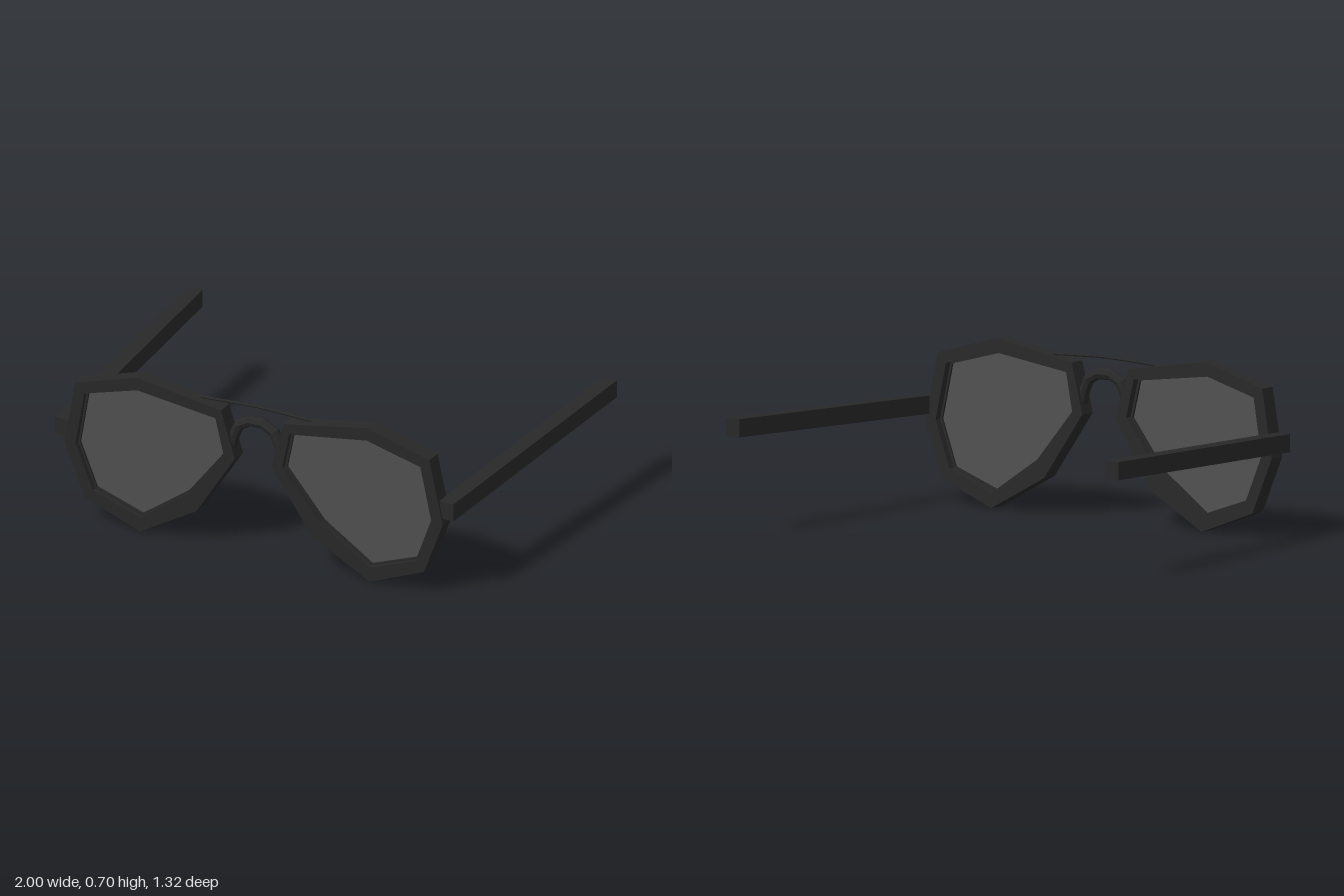
import * as THREE from 'three';

// Octagonal rim outlines for the +x side, clockwise from the top
const OUTER = [[0.535, 0.705], [0.825, 0.62], [0.882, 0.335], [0.79, 0.1],
  [0.535, 0], [0.27, 0.15], [0.085, 0.43], [0.145, 0.64]];
const INNER = [[0.535, 0.648], [0.783, 0.58], [0.829, 0.34], [0.753, 0.143],
  [0.535, 0.065], [0.308, 0.223], [0.137, 0.437], [0.172, 0.598]];
// Lens edge, slightly inside the opening
const LENS = INNER.map(([x, y]) => [0.5 + (x - 0.5) * 0.972, 0.38 + (y - 0.38) * 0.972]);

// Counter-clockwise outline on either side
const outline = (pts, side) => {
  const out = pts.map(([x, y]) => new THREE.Vector2(x * side, y));
  return side > 0 ? out.reverse() : out;
};

// Lean the front forward towards the top
const lean = (geo) => {
  const p = geo.attributes.position;
  for (let i = 0; i < p.count; i++) p.setZ(i, p.getZ(i) + 0.04 * p.getY(i));
  geo.computeVertexNormals();
  return geo;
};

// Extruded ring between two outlines, starting at depth z
const ring = (outer, inner, side, z, depth) => {
  const shape = new THREE.Shape(outline(outer, side));
  shape.holes.push(new THREE.Path(outline(inner, side)));
  const geo = new THREE.ExtrudeGeometry(shape, { depth, bevelEnabled: false });
  return lean(geo.translate(0, 0, z));
};

// Tube along points in the plane of the bridge
const tube = (pts, radius, segments, sides) => {
  const path = pts.map(([x, y]) => new THREE.Vector3(x, y, 0.617));
  return new THREE.TubeGeometry(new THREE.CatmullRomCurve3(path), segments, radius, sides);
};

export function createModel() {
  const group = new THREE.Group();
  const frameMat = new THREE.MeshStandardMaterial({ color: 0x282828, flatShading: true });
  frameMat.name = 'charcoal frame';
  const lensMat = new THREE.MeshStandardMaterial({ color: 0x505050, side: THREE.DoubleSide });
  lensMat.name = 'smoked lens';
  const add = (name, geo, mat) => {
    const mesh = new THREE.Mesh(geo, mat);
    mesh.name = name;
    group.add(mesh);
  };

  for (const side of [1, -1]) {
    const label = side > 0 ? 'left' : 'right';

    // Rim, with a narrow seat holding the flat lens
    add(label + 'Rim', ring(OUTER, INNER, side, 0.558, 0.074), frameMat);
    add(label + 'LensSeat', ring(INNER, LENS, side, 0.59, 0.02), frameMat);
    const lens = new THREE.ShapeGeometry(new THREE.Shape(outline(LENS, side)));
    add(label + 'Lens', lean(lens.translate(0, 0, 0.6)), lensMat);

    // Temple arm, spreading outwards and rising towards the back
    const temple = new THREE.BoxGeometry(0.07, 0.076, 1.3);
    const p = temple.attributes.position;
    for (let i = 0; i < p.count; i++) {
      const t = 0.5 - p.getZ(i) / 1.3;
      p.setX(i, p.getX(i) + side * (0.893 + 0.072 * t));
      p.setY(i, p.getY(i) + 0.397 + 0.055 * t);
      p.setZ(i, p.getZ(i) - 0.012);
    }
    temple.computeVertexNormals();
    add(label + 'Temple', temple, frameMat);
  }

  // Faceted nose bridge arch
  add('noseBridge', tube([[-0.118, 0.46], [-0.102, 0.53], [-0.08, 0.575], [-0.045, 0.598],
    [0, 0.602], [0.045, 0.598], [0.08, 0.575], [0.102, 0.53], [0.118, 0.46]],
  0.024, 7, 8), frameMat);

  // Thin brow wire
  add('browWire', tube([[-0.29, 0.66], [-0.15, 0.667], [0, 0.672], [0.15, 0.667],
    [0.29, 0.66]], 0.006, 8, 6), frameMat);

  return group;
}
